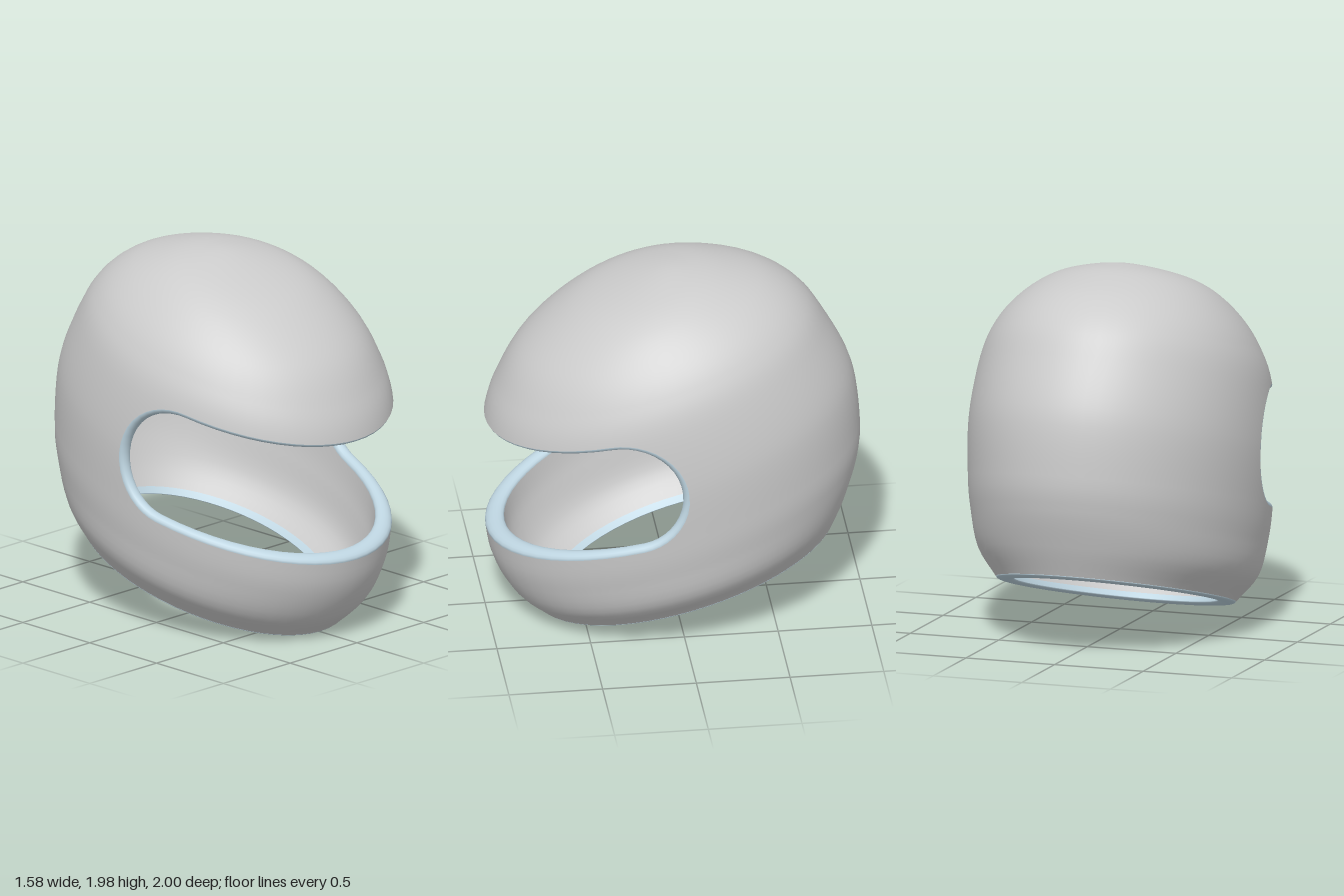
import * as THREE from 'three';

// Helmet sections, stacked along a tilted axis: [height, front, back, half width].
// The last one mirrors the one below the pole, so the curves close in a smooth dome.
const SECTIONS = [
  [0.21, 0.7, -0.955, 0.61], [0.357, 0.793, -1.06, 0.72], [0.54, 0.84, -1.17, 0.758],
  [0.72, 0.832, -1.235, 0.777], [1.04, 0.775, -1.28, 0.787], [1.365, 0.657, -1.222, 0.752],
  [1.55, 0.53, -1.15, 0.685], [1.7, 0.375, -1.015, 0.578], [1.82, 0.145, -0.815, 0.435],
  [1.887, -0.09, -0.64, 0.262], [1.918, -0.44, -0.44, 0], [1.887, -0.64, -0.09, -0.262],
];
const LAST = SECTIONS.length - 2;    // the pole
const CHIN = 3, BROW = 5;            // sections at the lower and upper visor edge
const COS = 0.963, SIN = 0.27;       // tilt of the section axis
const AXIS = new THREE.Vector3(0, COS, SIN);
const TAU = Math.PI * 2;
const { clamp } = THREE.MathUtils;

const depthCurve = new THREE.CatmullRomCurve3(
  SECTIONS.map(([h, f, b]) => new THREE.Vector3(f, h, b)), false, 'catmullrom');
const widthCurve = new THREE.CatmullRomCurve3(
  SECTIONS.map(([h, , , w]) => new THREE.Vector3(w, h, 0)), false, 'catmullrom');

function section(t) {
  const u = t / (LAST + 1);
  const p = depthCurve.getPoint(u);
  return { h: p.y, c: (p.x + p.z) / 2, r: (p.x - p.z) / 2, w: widthCurve.getPoint(u).x };
}

// Point on the outer skin: t = section, a = angle from the front towards +x
function skin(t, a) {
  const { h, c, r, w } = section(t);
  const d = c + r * Math.cos(a);
  return new THREE.Vector3(w * Math.sin(a), COS * h - SIN * d, SIN * h + COS * d);
}

function skinNormal(t, a) {
  const e = 0.01;
  const s = Math.min(Math.max(t, e), LAST - 2 * e);
  const da = skin(s, a + e).sub(skin(s, a - e));
  const dt = skin(s + e, a).sub(skin(s - e, a));
  return da.cross(dt).normalize();
}

// Wall of the shell: square to the axis below the brow, square to the skin at the
// top; thicker at the front, back, top and neck than at the sides
function wall(t, a) {
  const top = clamp((t - BROW) / (LAST - BROW), 0, 1);
  const dir = skinNormal(t, a);
  dir.addScaledVector(AXIS, -dir.dot(AXIS) * (1 - clamp(2 * top, 0, 1))).normalize();
  const thick = 0.07 + 0.035 * (Math.cos(a) ** 2 * (1 - top) + top) + 0.02 * clamp(1 - t, 0, 1);
  return { dir, thick };
}

// Angle of the visor edge: straight in front, a half circle at the sides
function visorAngle(t) {
  const { h, c, r } = section(t);
  const d = 0.05 - Math.sqrt(Math.max(0, 0.3225 ** 2 - (h - 1.0425) ** 2));
  return Math.acos((d - c) / r);
}

// Grid of rows x cols quads; at(i, j) returns { p, n }
function gridGeometry(rows, cols, at, flip = false) {
  const pos = [], nor = [], idx = [];
  for (let i = 0; i <= rows; i++) {
    for (let j = 0; j <= cols; j++) {
      const { p, n } = at(i, j);
      pos.push(p.x, p.y, p.z);
      nor.push(n.x, n.y, n.z);
      if (i === rows || j === cols) continue;
      const a = i * (cols + 1) + j, b = a + 1, c = a + cols + 1, d = c + 1;
      if (flip) idx.push(a, d, b, a, c, d);
      else idx.push(a, b, d, a, d, c);
    }
  }
  const g = new THREE.BufferGeometry();
  g.setAttribute('position', new THREE.Float32BufferAttribute(pos, 3));
  g.setAttribute('normal', new THREE.Float32BufferAttribute(nor, 3));
  g.setIndex(idx);
  return g;
}

// Part of the skin between two angles, or the inside of its wall
function patch(ts, span, cols, inner) {
  return gridGeometry(ts.length - 1, cols, (i, j) => {
    const [a0, a1] = span(ts[i]);
    const a = a0 + (a1 - a0) * j / cols;
    const p = skin(ts[i], a), n = skinNormal(ts[i], a);
    if (inner) {
      const { dir, thick } = wall(ts[i], a);
      p.addScaledVector(dir, -thick);
      n.negate();
    }
    return { p, n };
  }, inner);
}

// Rounded edge across the wall along a closed loop of [t, a]
function rim(loop, bulge) {
  const steps = 8, count = loop.length;
  const pts = loop.map(([t, a]) => skin(t, a));
  const walls = loop.map(([t, a]) => wall(t, a));
  return gridGeometry(steps, count, (i, j) => {
    const k = j % count, { dir, thick } = walls[k];
    const along = pts[(k + 1) % count].clone().sub(pts[(k + count - 1) % count]).normalize();
    const out = dir.clone().cross(along).normalize();
    const c = Math.cos(Math.PI * i / steps), s = Math.sin(Math.PI * i / steps);
    return {
      p: pts[k].clone().addScaledVector(dir, (c - 1) * thick / 2).addScaledVector(out, s * bulge),
      n: dir.clone().multiplyScalar(c * bulge).addScaledVector(out, s * thick / 2).normalize(),
    };
  });
}

const range = (from, to, n) => Array.from({ length: n + 1 }, (_, i) => from + (to - from) * i / n);

export function createModel() {
  const helmet = new THREE.Group();
  helmet.name = 'helmet';
  const grey = new THREE.MeshStandardMaterial({ color: 0xcccccc });
  const blue = new THREE.MeshStandardMaterial({ color: 0xbfd6e2 });
  const add = (name, geometry, material, parent = helmet) => {
    const mesh = new THREE.Mesh(geometry, material);
    mesh.name = name;
    parent.add(mesh);
  };

  const FRONT = 24, BACK = 36, BAND = 0.2;
  const chinA = visorAngle(CHIN), browA = visorAngle(BROW);
  const chinFront = () => [-chinA, chinA], chinBack = () => [chinA, TAU - chinA];
  const sideRows = range(0, Math.PI, 20).map((k) => 4 - Math.cos(k));
  const crownRows = range(BROW, LAST, 25);

  // Outer shell and inner lining, in pieces around the visor opening
  for (const inner of [false, true]) {
    const shell = new THREE.Group();
    shell.name = inner ? 'innerLining' : 'outerShell';
    helmet.add(shell);
    const chinRows = range(inner ? BAND : 0, CHIN, 12);
    const piece = (name, rows, span, cols) => add(name, patch(rows, span, cols, inner), grey, shell);
    piece('chinBar', chinRows, chinFront, FRONT);
    piece('neckBack', chinRows, chinBack, BACK);
    piece('sidesAndBack', sideRows, (t) => [visorAngle(t), TAU - visorAngle(t)], BACK);
    piece('crownFront', crownRows, () => [-browA, browA], FRONT);
    piece('crownBack', crownRows, () => [browA, TAU - browA], BACK);
  }

  // Trim around the visor opening: chin, left side, brow, right side
  const chinAngles = range(-chinA, chinA, FRONT).slice(0, -1);
  const left = sideRows.map((t) => [t, visorAngle(t)]);
  const visorLoop = [
    ...chinAngles.map((a) => [CHIN, a]),
    ...left.slice(0, -1),
    ...range(browA, -browA, FRONT).slice(0, -1).map((a) => [BROW, a]),
    ...left.slice(1).reverse().map(([t, a]) => [t, -a]),
  ];
  add('visorTrim', rim(visorLoop, 0.03), blue);

  // Trim around the neck opening, with a narrow band on its inside
  const neckAngles = [...chinAngles, ...range(chinA, TAU - chinA, BACK).slice(0, -1)];
  add('neckTrim', rim(neckAngles.reverse().map((a) => [0, a]), 0.015), blue);
  add('neckBandFront', patch([0, BAND], chinFront, FRONT, true), blue);
  add('neckBandBack', patch([0, BAND], chinBack, BACK, true), blue);

  return helmet;
}
